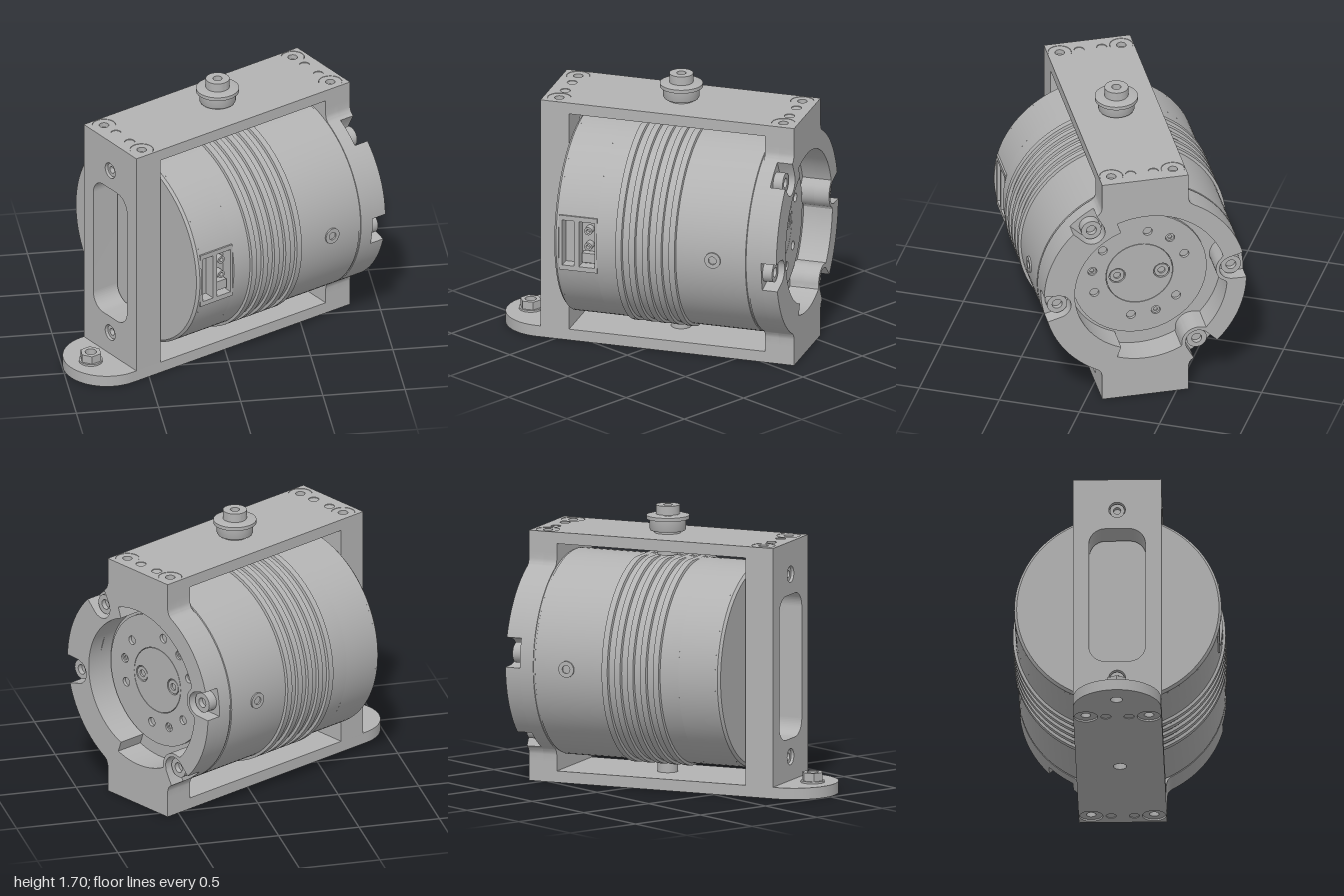
import * as THREE from 'three';
import { toCreasedNormals } from 'three/addons/utils/BufferGeometryUtils.js';

const metal = new THREE.MeshStandardMaterial({ color: 0xb2b2b2 });
metal.name = 'machined grey metal';

const AXIS_Y = 0.765, R = 0.624, HALF = 0.266, RAD = Math.PI / 180;
const V = (x, y) => new THREE.Vector2(x, y);

function part(parent, name, geometry, crease = 0.5) {
  const mesh = new THREE.Mesh(toCreasedNormals(geometry, crease), metal);
  mesh.name = name;
  parent.add(mesh);
  return mesh;
}
function lathe(points, segments = 48, start = 0, length = Math.PI * 2) {
  return new THREE.LatheGeometry(points.map(([r, h]) => V(r, h)), segments, start, length);
}
function extrude(shape, depth) {
  return new THREE.ExtrudeGeometry(shape, { depth, bevelEnabled: false, curveSegments: 24 });
}
function rect(x0, y0, x1, y1) {
  return new THREE.Shape([V(x0, y0), V(x1, y0), V(x1, y1), V(x0, y1)]);
}
function hole(shape, x, y, r) {
  const p = new THREE.Path();
  p.absarc(x, y, r, 0, Math.PI * 2, true);
  shape.holes.push(p);
}
// Horizontal plate: shape lies in x,-z and thickens upward
const flat = (shape, y, t) => extrude(shape, t).rotateX(-Math.PI / 2).translate(0, y, 0);
// Upright plate: shape lies in -z,y and thickens along +x
const upright = (shape, x, t) => extrude(shape, t).rotateY(Math.PI / 2).translate(x, AXIS_Y, 0);

// Round socket-head screw standing on its origin, pointed along +y
function screw(parent, name, r, h, pos, rot = [0, 0, 0], socket = 0.5) {
  const s = r * socket, d = Math.min(0.03, h * 0.6);
  const m = part(parent, name, lathe([[0, 0], [r, 0], [r, h], [s, h], [s, h - d], [0, h - d]], 24));
  m.position.set(...pos);
  m.rotation.set(...rot);
}
const TO_RIGHT = [0, 0, -Math.PI / 2], TO_LEFT = [0, 0, Math.PI / 2];
const TO_FRONT = [Math.PI / 2, 0, 0], TO_BACK = [-Math.PI / 2, 0, 0], DOWN = [Math.PI, 0, 0];

// Ring wall: a post merged with a ring by fillets, pocketed around four screws in its outer layer
function ringWall(g) {
  const screws = [-7, 53, 173, 233], screwR = 0.54;
  // Near edge, along the ray at angle a, of a circle of radius f centred at (x, y)
  const nearEdge = (a, x, y, f) => {
    const along = x * Math.cos(a * RAD) + y * Math.sin(a * RAD);
    const q = along * along - x * x - y * y + f * f;
    return along > 0 && q >= 0 ? along - Math.sqrt(q) : Infinity;
  };
  const pocket = (a, f) => Math.min(...screws.map(s =>
    nearEdge(a, screwR * Math.cos(s * RAD), screwR * Math.sin(s * RAD), f)));

  const f = 0.06, fx = HALF + f, fy = Math.sqrt((R + f) ** 2 - fx ** 2);
  const filletStart = Math.atan2(fy, fx) / RAD, filletEnd = Math.atan2(fy, HALF) / RAD;
  const outline = angle => {
    const x = Math.abs(Math.cos(angle * RAD)), y = Math.abs(Math.sin(angle * RAD));
    const a = Math.atan2(y, x) / RAD;
    if (a > filletStart && a < filletEnd) return nearEdge(a, fx, fy, f);
    return Math.max(R, Math.min(HALF / x, 0.695 / y));
  };
  const bore = a => (a > 70 && a < 290 ? Math.min(0.505, Math.max(0.435, pocket(a, 0.1))) : 0.435);

  const corner = Math.atan2(0.695, HALF) / RAD;
  const angles = [69.97, 70.03, 289.97, 290.03];
  for (let a = 0; a < 360; a += 1.5) angles.push(a);
  for (const a of [corner, filletStart, filletEnd, (filletStart + filletEnd) / 2]) {
    angles.push(a, 180 - a, 180 + a, 360 - a);
  }
  for (const s of screws) {
    const d = Math.asin(0.078 / screwR) / RAD;
    for (const e of [-d - 0.03, -d + 0.03, d - 0.03, d + 0.03]) angles.push((s + e + 360) % 360);
  }
  angles.sort((a, b) => b - a);
  const polar = fn => angles.map(a => V(-fn(a) * Math.cos(a * RAD), fn(a) * Math.sin(a * RAD)));

  for (const [name, x, t, edge] of [
    ['ringWallInner', 0.593, 0.087, outline],
    ['ringWallOuter', 0.68, 0.095, a => Math.min(outline(a), pocket(a, 0.078))],
  ]) {
    const ring = new THREE.Shape(polar(edge));
    ring.holes.push(new THREE.Path(polar(bore)));
    part(g, name, upright(ring, x, t));
  }
  for (const s of screws) {
    screw(g, 'ringScrew', 0.062, 0.06,
      [0.68, AXIS_Y + screwR * Math.sin(s * RAD), screwR * Math.cos(s * RAD)], TO_RIGHT);
  }
}

function bracket(root) {
  const g = new THREE.Group();
  g.name = 'bracket';
  root.add(g);

  // Top and bottom plates with flush screws and dowel pins
  const top = rect(-0.825, -HALF, 0.775, HALF);
  const bottom = new THREE.Shape();
  bottom.moveTo(0.775, -HALF);
  bottom.lineTo(0.775, HALF);
  bottom.lineTo(-0.85, HALF);
  bottom.absarc(-0.85, 0, HALF, Math.PI / 2, Math.PI * 1.5, false);
  for (const u of [-0.73, 0.684]) {
    for (const v of [-0.19, 0.19]) {
      hole(top, u, v, 0.071);
      hole(bottom, u, v, 0.071);
      screw(g, 'plateScrew', 0.07, 0.067, [u, 1.461, v], [0, 0, 0], 0.42);
      screw(g, 'plateScrew', 0.07, 0.06, [u, 0.07, v], DOWN, 0.42);
    }
    for (const v of [-0.07, 0.07]) {
      hole(top, u, v, 0.031);
      hole(bottom, u, v, 0.031);
      for (const y of [0.037, 1.493]) {
        part(g, 'dowelPin', new THREE.CylinderGeometry(0.03, 0.03, 0.066, 24)).position.set(u, y, v);
      }
    }
  }
  hole(bottom, -0.97, 0, 0.036);
  hole(bottom, -0.02, 0, 0.04);
  part(g, 'topPlate', flat(top, 1.46, 0.07));
  part(g, 'bottomPlate', flat(bottom, 0, 0.07));

  // Slotted end wall
  const wall = rect(-HALF, -0.695, HALF, 0.695);
  const slot = new THREE.Path(), w = 0.17, h = 0.44, c = 0.1;
  slot.absarc(w - c, h - c, c, 0, Math.PI / 2);
  slot.absarc(c - w, h - c, c, Math.PI / 2, Math.PI);
  slot.absarc(c - w, c - h, c, Math.PI, Math.PI * 1.5);
  slot.absarc(w - c, c - h, c, Math.PI * 1.5, Math.PI * 2);
  slot.closePath();
  wall.holes.push(slot);
  for (const y of [-0.55, 0.565]) {
    hole(wall, 0, y, 0.05);
    screw(g, 'wallScrew', 0.044, 0.08, [-0.73, AXIS_Y + y, 0], TO_LEFT);
  }
  part(g, 'slottedWall', upright(wall, -0.825, 0.18));

  ringWall(g);

  // Hex nut and washer on the rounded foot
  for (const [name, r, y, t, sides] of [['footWasher', 0.072, 0.07, 0.012, 32], ['footNut', 0.066, 0.082, 0.05, 6]]) {
    const points = [];
    for (let i = 0; i < sides; i++) {
      const a = i / sides * Math.PI * 2;
      points.push(V(r * Math.cos(a), r * Math.sin(a)));
    }
    const ring = new THREE.Shape(points);
    hole(ring, 0, 0, 0.034);
    part(g, name, flat(ring, y, t)).position.x = -0.97;
  }

  // Knob on the top plate and pivot pins on the inside
  part(g, 'topKnob', lathe([[0, 1.52], [0.08, 1.52], [0.08, 1.545], [0.105, 1.545], [0.11, 1.555], [0.11, 1.615],
    [0.13, 1.615], [0.13, 1.637], [0.1, 1.645], [0.072, 1.645], [0.072, 1.7], [0.028, 1.7], [0.028, 1.66], [0, 1.66]]))
    .position.x = -0.02;
  part(g, 'upperPin', new THREE.CylinderGeometry(0.062, 0.062, 0.065, 24)).position.set(-0.02, 1.43, 0);
  part(g, 'lowerPin', new THREE.CylinderGeometry(0.062, 0.062, 0.065, 24)).position.set(-0.02, 0.1, 0);
}

function motor(root) {
  const g = new THREE.Group();
  g.name = 'motor';
  g.position.y = AXIS_Y;
  root.add(g);
  const along = geometry => geometry.rotateZ(-Math.PI / 2);

  // Body in three lengths, the middle one open for the connector
  part(g, 'rearCap', along(lathe([[0, -0.63], [0.609, -0.63], [R, -0.615], [R, -0.6], [0, -0.6]], 96)));
  const gap = 0.277;
  part(g, 'rearShell', along(lathe([[R, -0.6], [R, -0.36]], 96, gap, Math.PI * 2 - gap * 2)));
  const profile = [[0, -0.36], [R, -0.36]];
  for (let i = 0; i < 5; i++) {
    const u = -0.24 + i * 0.084;
    profile.push([R, u], [0.641, u + 0.004], [0.641, u + 0.041], [R, u + 0.045]);
  }
  profile.push([R, 0.58], [R - 0.006, 0.583], [R - 0.006, 0.594], [0, 0.594]);
  const body = along(lathe(profile, 96));
  // Ribs are trimmed level with the body at top and bottom
  const pos = body.attributes.position;
  for (let i = 0; i < pos.count; i++) pos.setY(i, THREE.MathUtils.clamp(pos.getY(i), -R - 0.002, R + 0.002));
  part(g, 'ribbedBody', body);

  // Output flange with its bolt circle
  const disc = new THREE.Shape();
  disc.absarc(0, 0, 0.415, 0, Math.PI * 2);
  for (let i = 0; i < 12; i++) {
    if (i % 4 === 2) continue;
    const a = (10 + i * 30) * RAD, v = 0.295 * Math.cos(a), y = 0.295 * Math.sin(a);
    hole(disc, -v, y, 0.028);
    if (i % 4 === 0) screw(g, 'flangeScrew', 0.025, 0.014, [0.59, y, v], TO_RIGHT);
  }
  hole(disc, 0, 0, 0.207);
  part(g, 'outputFlange', extrude(disc, 0.023).rotateY(Math.PI / 2).translate(0.59, 0, 0));
  const hub = new THREE.Shape();
  hub.absarc(0, 0, 0.204, 0, Math.PI * 2);
  for (const v of [-0.137, 0.137]) {
    hole(hub, v, 0, 0.05);
    screw(g, 'hubScrew', 0.044, 0.02, [0.59, 0, v], TO_RIGHT);
  }
  part(g, 'outputHub', extrude(hub, 0.023).rotateY(Math.PI / 2).translate(0.59, 0, 0));

  // Side screws
  screw(g, 'sideScrew', 0.05, 0.03, [0.374, 0, 0.603], TO_FRONT);
  screw(g, 'sideScrew', 0.05, 0.03, [0.374, 0, -0.603], TO_BACK);

  // Cable connector set into the shell
  const frame = rect(-0.6, -0.175, -0.36, 0.175);
  frame.holes.push(rect(-0.58, -0.145, -0.505, 0.145), rect(-0.475, -0.145, -0.375, 0.145));
  part(g, 'connectorFrame', extrude(frame, 0.115).translate(0, 0, 0.495));
  part(g, 'connectorFloor', new THREE.BoxGeometry(0.24, 0.35, 0.03)).position.set(-0.48, 0, 0.52);
  for (const y of [0.08, -0.02]) screw(g, 'connectorPin', 0.025, 0.05, [-0.425, y, 0.535], TO_FRONT);
  part(g, 'connectorKey', new THREE.BoxGeometry(0.08, 0.06, 0.05)).position.set(-0.425, -0.095, 0.555);
}

export function createModel() {
  const model = new THREE.Group();
  model.name = 'motorInBracket';
  const assembly = new THREE.Group();
  assembly.name = 'assembly';
  const turn = 28.1 * RAD;
  assembly.rotation.y = turn;
  assembly.position.set(0.04 * Math.sin(turn), 0, 0.04 * Math.cos(turn));
  model.add(assembly);
  bracket(assembly);
  motor(assembly);
  return model;
}
